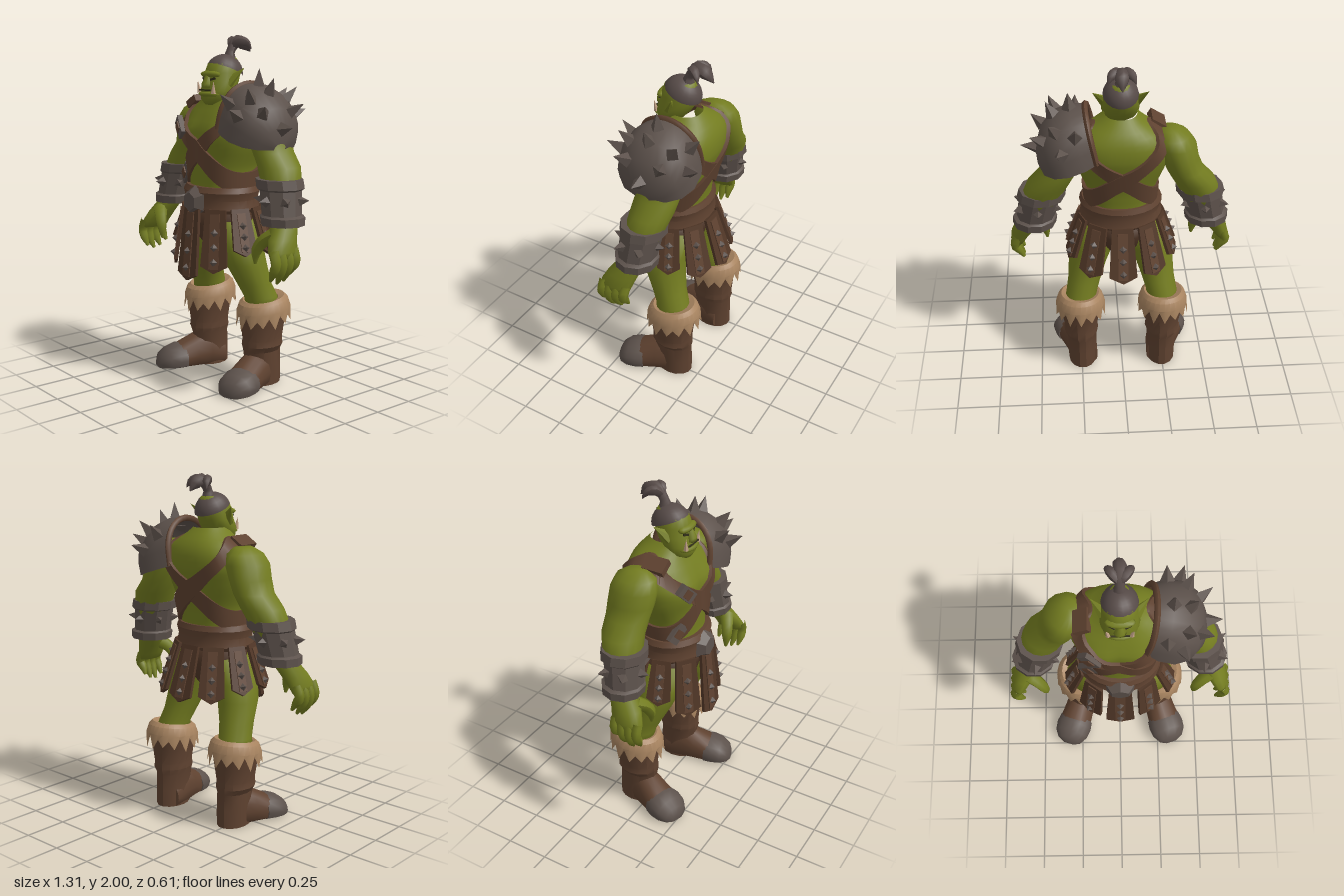
import * as THREE from 'three';
import { mergeVertices, toCreasedNormals } from 'three/addons/utils/BufferGeometryUtils.js';

const V = (x, y, z) => new THREE.Vector3(x, y, z);
const mat = (name, color, extra = {}) => Object.assign(new THREE.MeshStandardMaterial({ color, ...extra }), { name });

export function createModel() {
  const root = new THREE.Group();
  const skin = mat('greenSkin', 0x737c20);
  const metal = mat('darkMetal', 0x5d524c, { side: THREE.DoubleSide });
  const hair = mat('darkHair', 0x574b48);
  const leather = mat('brownLeather', 0x5f4230, { side: THREE.DoubleSide });
  const hide = mat('darkLeather', 0x513727);
  const fur = mat('tanFur', 0xa88460, { side: THREE.DoubleSide });
  const ivory = mat('ivory', 0xc4a488);
  const dark = mat('darkFeature', 0x33301a);

  const add = (name, geo, material, parent = root) => {
    const m = new THREE.Mesh(geo, material);
    m.name = name;
    parent.add(m);
    return m;
  };
  const group = (name, parent = root) => {
    const g = new THREE.Group();
    g.name = name;
    parent.add(g);
    return g;
  };

  // Welded surface from a grid of points f(i, j)
  function grid(nu, nv, f, crease = 0) {
    const pos = [], idx = [], w = nu + 1;
    for (let j = 0; j <= nv; j++) for (let i = 0; i <= nu; i++) pos.push(...f(i, j));
    for (let j = 0; j < nv; j++) for (let i = 0; i < nu; i++) {
      const a = j * w + i;
      idx.push(a, a + 1, a + w + 1, a, a + w + 1, a + w);
    }
    let g = new THREE.BufferGeometry();
    g.setAttribute('position', new THREE.Float32BufferAttribute(pos, 3));
    g.setIndex(idx);
    g = mergeVertices(g, 1e-4);
    g.computeVertexNormals();
    return crease ? toCreasedNormals(g, crease) : g;
  }
  // Stack of horizontal ellipses [x, y, z, rx, rz] listed upward, closed at both ends
  function loft(rows, seg = 16, crease = 0) {
    const shut = r => [r[0], r[1], r[2], 0, 0];
    const all = [shut(rows[0]), ...rows, shut(rows[rows.length - 1])];
    return grid(seg, all.length - 1, (i, j) => {
      const a = -(i % seg) / seg * Math.PI * 2, r = all[j];
      return [r[0] + r[3] * Math.cos(a), r[1], r[2] + r[4] * Math.sin(a)];
    }, crease);
  }
  // Tapered tube through points
  function sweep(points, radii, n = 8, sides = 7) {
    const curve = new THREE.CatmullRomCurve3(points.map(p => V(...p)));
    const g = new THREE.TubeGeometry(curve, n, 1, sides), p = g.attributes.position, v = V(0, 0, 0);
    for (let k = 0; k < p.count; k++) {
      const t = Math.floor(k / (sides + 1)) / n, f = t * (radii.length - 1), b = Math.min(Math.floor(f), radii.length - 2);
      const c = curve.getPointAt(t), r = THREE.MathUtils.lerp(radii[b], radii[b + 1], f - b);
      v.fromBufferAttribute(p, k).sub(c).multiplyScalar(r).add(c);
      p.setXYZ(k, v.x, v.y, v.z);
    }
    g.computeVertexNormals();
    return g;
  }
  function spike(name, p, dir, r, h, parent = root, material = metal, sides = 4) {
    const n = dir.clone().normalize();
    const m = add(name, toCreasedNormals(new THREE.ConeGeometry(r, h, sides), 0.5), material, parent);
    m.quaternion.setFromUnitVectors(V(0, 1, 0), n);
    m.position.copy(p).addScaledVector(n, h * 0.4);
    return m;
  }

  // Torso: [y, half width, half depth, z centre], with a chest bulge
  const body = [[0.92, 0.18, 0.14, 0.02], [1.05, 0.2, 0.175, 0.025], [1.16, 0.19, 0.17, 0.02], [1.26, 0.205, 0.175, 0.015],
    [1.38, 0.255, 0.19, 0], [1.48, 0.28, 0.2, -0.015], [1.56, 0.265, 0.18, -0.03], [1.62, 0.2, 0.15, -0.035],
    [1.66, 0.13, 0.125, -0.025], [1.7, 0.09, 0.1, -0.01]];
  function surf(y, a, off = 0) {
    let k = 0;
    while (k < body.length - 2 && y > body[k + 1][0]) k++;
    const t = THREE.MathUtils.clamp((y - body[k][0]) / (body[k + 1][0] - body[k][0]), 0, 1);
    const [, rx, rz, zc] = body[k].map((b, i) => b + (body[k + 1][i] - b) * t);
    const c = Math.cos(a), s = Math.sin(a), box = v => Math.sign(v) * Math.abs(v) ** 0.88;
    const pec = 0.03 * Math.exp(-(((y - 1.44) / 0.08) ** 2)) * Math.max(0, s) * Math.min(1, Math.abs(c) * 3);
    return [(rx + off) * box(c), y, zc + (rz + off + pec) * box(s)];
  }
  add('torso', grid(32, 26, (i, j) => surf(0.92 + j * 0.03, -(i % 32) / 16 * Math.PI)), skin);

  // Crossed chest straps hugging the torso, with buckles
  const strapY = c => 1.355 - 0.22 * c + 0.045 * c * c;
  const section = [[-1, -0.01], [-1, 0.016], [1, 0.016], [1, -0.01], [-1, -0.01]];
  for (const side of [1, -1]) {
    add(side > 0 ? 'strapFromRightShoulder' : 'strapFromLeftShoulder', grid(4, 48, (i, j) => {
      const a = (j % 48) / 24 * Math.PI, c = Math.cos(a) * side, w = 0.06 * (1 - 0.4 * Math.max(0, -c));
      return surf(strapY(c) + section[i][0] * w, a, section[i][1] + (side > 0 ? 0.004 : 0));
    }, 0.7), leather);
  }
  for (const [a, side] of [[2.1, 1], [2.45, -1]]) {
    const buckle = group('strapBuckle');
    buckle.position.set(...surf(strapY(Math.cos(a) * side), a, 0.02));
    buckle.rotation.set(0, -0.35, side * -0.8, 'YXZ');
    add('buckleFrame', new THREE.BoxGeometry(0.12, 0.07, 0.03), metal, buckle);
    add('buckleTab', new THREE.BoxGeometry(0.05, 0.05, 0.045), leather, buckle);
  }
  const flap = add('shoulderTab', new THREE.BoxGeometry(0.09, 0.04, 0.13), leather);
  flap.position.set(-0.2, 1.62, 0.03);
  flap.rotation.z = 0.55;

  // Head and face
  const head = group('head');
  add('skull', loft([[0, 1.612, 0.085, 0.05, 0.045], [0, 1.64, 0.075, 0.088, 0.072], [0, 1.69, 0.055, 0.106, 0.096],
    [0, 1.74, 0.03, 0.1, 0.103], [0, 1.79, 0.018, 0.094, 0.108], [0, 1.84, 0.01, 0.083, 0.095],
    [0, 1.87, 0, 0.055, 0.07], [0, 1.882, 0, 0.025, 0.03]], 18), skin, head);
  const cap = add('hairCap', new THREE.SphereGeometry(1, 18, 8, 0, Math.PI * 2, 0, 1.4), hair, head);
  cap.scale.set(0.1, 0.106, 0.112);
  cap.position.set(0, 1.786, 0.006);
  cap.rotation.x = -0.38;
  const brow = add('brow', new THREE.SphereGeometry(1, 12, 6), skin, head);
  brow.scale.set(0.082, 0.022, 0.035);
  brow.position.set(0, 1.782, 0.105);
  add('nose', loft([[0, 1.71, 0.135, 0.034, 0.026], [0, 1.73, 0.135, 0.03, 0.028], [0, 1.78, 0.12, 0.014, 0.015]], 8), skin, head);
  const lip = add('lowerLip', new THREE.SphereGeometry(1, 14, 6), skin, head);
  lip.scale.set(0.085, 0.02, 0.05);
  lip.position.set(0, 1.672, 0.112);
  const mouth = add('mouth', new THREE.BoxGeometry(0.1, 0.008, 0.008), dark, head);
  mouth.position.set(0, 1.695, 0.146);
  for (const s of [1, -1]) {
    const eye = add('eye', new THREE.BoxGeometry(0.034, 0.012, 0.008), dark, head);
    eye.position.set(s * 0.042, 1.757, 0.122);
    eye.rotation.set(0, s * 0.4, s * 0.25);
    spike('tusk', V(s * 0.063, 1.685, 0.135), V(s * 0.15, 1, 0.1), 0.015, 0.07, head, ivory, 6);
    const ear = spike('ear', V(s * 0.085, 1.745, 0.035), V(s * 0.07, 0.075, -0.05), 0.042, 0.125, head, skin, 6);
    ear.scale.z = 0.5;
  }
  // Topknot: stalk and three drooping locks
  add('topknotStalk', sweep([[0, 1.86, -0.03], [0, 1.9, -0.035], [0, 1.945, -0.06]], [0.04, 0.026, 0.028]), hair, head);
  add('topknotLock', sweep([[0, 1.92, -0.045], [0, 1.963, -0.08], [0, 1.955, -0.13], [0, 1.905, -0.185]], [0.025, 0.036, 0.038, 0.002]), hair, head);
  for (const s of [1, -1]) add('topknotSideLock', sweep([[0, 1.93, -0.05], [s * 0.03, 1.965, -0.075], [s * 0.058, 1.955, -0.11],
    [s * 0.075, 1.92, -0.13]], [0.02, 0.03, 0.024, 0.002]), hair, head);

  for (const s of [1, -1]) {
    const tag = s > 0 ? 'left' : 'right';
    const mir = rows => rows.map(([x, ...r]) => [x * s, ...r]);
    // Arm, bracer and hand
    const arm = group(tag + 'Arm');
    add('upperArm', loft(mir([[0.48, 1.1, -0.02, 0.09, 0.09], [0.45, 1.2, -0.03, 0.115, 0.11], [0.41, 1.29, -0.05, 0.12, 0.12],
      [0.355, 1.365, -0.055, 0.105, 0.125], [0.325, 1.44, -0.05, 0.105, 0.135], [0.3, 1.52, -0.045, 0.115, 0.135],
      [0.28, 1.575, -0.045, 0.095, 0.115], [0.27, 1.61, -0.045, 0.045, 0.06]])), skin, arm);
    add('bracer', loft(mir([[0.5, 0.985, 0.0, 0.125, 0.12], [0.496, 1.03, 0, 0.128, 0.125], [0.49, 1.04, 0, 0.112, 0.112],
      [0.462, 1.17, -0.015, 0.118, 0.118], [0.455, 1.18, -0.02, 0.138, 0.133], [0.445, 1.23, -0.02, 0.135, 0.132]]), 10, 0.6), metal, arm);
    for (let k = 0; k < 6; k++) {
      const a = k / 6 * Math.PI * 2 + 0.5, d = V(s * Math.cos(a), 0.1, Math.sin(a));
      spike('bracerSpike', V(s * 0.477, 1.105, -0.005).addScaledVector(d, 0.105), d, 0.035, 0.06, arm);
    }
    add('palm', loft(mir([[0.6, 0.82, 0.085, 0.035, 0.085], [0.59, 0.86, 0.08, 0.05, 0.096], [0.56, 0.92, 0.055, 0.062, 0.09],
      [0.53, 0.98, 0.02, 0.07, 0.08], [0.51, 1.02, 0.01, 0.07, 0.08]]), 12), skin, arm);
    for (let k = 0; k < 4; k++) {
      const z = 0.015 + k * 0.046, d = [0.04, 0.01, 0, 0.02][k];
      add('finger', sweep(mir([[0.6, 0.87, z], [0.625, 0.8, z + 0.004], [0.605, 0.735 + d, z + 0.006], [0.575, 0.685 + d, z]]),
        [0.03, 0.029, 0.026, 0.008]), skin, arm);
    }
    add('thumb', sweep(mir([[0.53, 0.94, 0.09], [0.475, 0.9, 0.125], [0.445, 0.845, 0.14], [0.435, 0.775, 0.14]]),
      [0.045, 0.036, 0.03, 0.008]), skin, arm);

    // Leg
    const leg = group(tag + 'Leg');
    add('thighAndKnee', loft(mir([[0.25, 0.44, -0.08, 0.1, 0.105], [0.24, 0.52, -0.07, 0.092, 0.1], [0.22, 0.6, -0.035, 0.098, 0.102],
      [0.195, 0.72, 0.005, 0.115, 0.122], [0.165, 0.82, 0.02, 0.125, 0.135], [0.12, 0.96, 0.02, 0.11, 0.14]])), skin, leg);
    // Boot shaft, foot and toe cap
    add('bootShaft', loft(mir([[0.245, 0.0, -0.085, 0.085, 0.112], [0.245, 0.1, -0.085, 0.088, 0.112], [0.245, 0.2, -0.075, 0.088, 0.12],
      [0.25, 0.235, -0.075, 0.105, 0.128], [0.25, 0.27, -0.075, 0.1, 0.124], [0.25, 0.36, -0.075, 0.118, 0.132],
      [0.25, 0.45, -0.08, 0.128, 0.142]]), 14, 0.5), leather, leg);
    const foot = group('foot', leg);
    foot.position.x = s * 0.26;
    foot.rotation.y = s * 0.32;
    // Shoe rows: [z, half width, height], flattened at the sole
    const shoe = rows => {
      const g = loft(rows.map(([z, w, h]) => [0, z, -h * 0.35, w, h * 0.65])).rotateX(Math.PI / 2), p = g.attributes.position;
      for (let k = 0; k < p.count; k++) p.setY(k, Math.max(0.003, p.getY(k)));
      return toCreasedNormals(g, 0.8);
    };
    add('bootFoot', shoe([[-0.16, 0.06, 0.14], [-0.06, 0.09, 0.22], [0.03, 0.095, 0.19], [0.14, 0.105, 0.135]]), leather, foot);
    add('toeCap', shoe([[0.1, 0.108, 0.14], [0.15, 0.115, 0.138], [0.205, 0.108, 0.118], [0.25, 0.078, 0.085], [0.268, 0.035, 0.04]]), metal, foot);
    // Ragged fur cuff
    const cuff = [[0.4, 1], [0.45, 1.02], [0.495, 0.92], [0.515, 0.78], [0.5, 0.55]];
    add('furCuff', grid(28, 4, (i, j) => {
      const k = i % 28, a = -k / 14 * Math.PI, z = Math.sin(a), jag = j ? 0 : (k % 2 ? -0.035 : 0.025) + 0.012 * Math.sin(k * 2.3);
      const r = cuff[j][1] + (j ? 0 : (k % 2) * 0.05);
      return [s * 0.25 + 0.145 * r * Math.cos(a), cuff[j][0] + jag - 0.018 * z, -0.083 + 0.16 * r * z];
    }, 0.5), fur, leg);
  }

  // Spiked shoulder pad: arches [topX, topY, lowX, lowY, half depth] marching outward
  const pad = group('shoulderPad');
  const arches = [[0.195, 1.735, 0.14, 1.48, 0.185], [0.28, 1.735, 0.2, 1.46, 0.215], [0.37, 1.695, 0.29, 1.43, 0.225],
    [0.44, 1.61, 0.37, 1.405, 0.195], [0.47, 1.5, 0.425, 1.39, 0.13], [0.465, 1.42, 0.45, 1.385, 0.04]];
  const padPoint = (a, j) => {
    const [tx, ty, lx, ly, d] = arches[j], t = Math.max(0, Math.sin(a)) ** 0.75;
    return [lx + (tx - lx) * t, ly + (ty - ly) * t, -0.015 + d * Math.cos(a)];
  };
  add('padShell', grid(14, 5, (i, j) => padPoint(i / 14 * Math.PI, j), 0.6), metal, pad);
  add('padTrim', sweep(Array.from({ length: 9 }, (_, i) => padPoint(i / 8 * Math.PI, 0)), [0.018, 0.018], 20, 6), leather, pad);
  for (const [a, j] of [[0.55, 1], [1.55, 1], [2.5, 1], [0.95, 2], [1.55, 2], [2.2, 2], [0.45, 2], [2.75, 2], [1.0, 3], [2.1, 3], [1.57, 4]]) {
    const p = V(...padPoint(a, j));
    spike('padSpike', p, p.clone().sub(V(0.26, 1.47, -0.015)), 0.042, 0.095, pad);
  }

  // Belt, buckle and loincloth
  add('loincloth', loft([[0, 0.76, 0.02, 0.05, 0.08], [0, 0.85, 0.02, 0.15, 0.14], [0, 0.93, 0.02, 0.205, 0.16], [0, 1.04, 0.025, 0.21, 0.18]]), hide);
  add('belt', loft([[0, 1.01, 0.028, 0.222, 0.19], [0, 1.03, 0.028, 0.24, 0.205], [0, 1.08, 0.028, 0.228, 0.196], [0, 1.125, 0.028, 0.24, 0.205],
    [0, 1.155, 0.025, 0.225, 0.19]], 24, 0.5), leather);
  const beltBuckle = add('beltBuckle', toCreasedNormals(new THREE.CylinderGeometry(0.055, 0.092, 0.045, 6), 0.3), metal);
  beltBuckle.position.set(0, 1.07, 0.24);
  beltBuckle.rotation.x = Math.PI / 2;

  // Studded skirt plates: [degrees, width, length, tilt]
  const skirt = group('skirt');
  const plates = [[90, 0.17, 0.42, 0.1], [-90, 0.16, 0.33, 0.32]];
  for (const [d, ...rest] of [[50, 0.155, 0.36, 0.14], [14, 0.14, 0.27, 0.34], [-20, 0.13, 0.28, 0.34], [-54, 0.15, 0.32, 0.32]])
    plates.push([d, ...rest], [180 - d, ...rest]);
  for (const [deg, w, len, tilt] of plates) {
    const a = deg * Math.PI / 180, c = Math.cos(a), n = Math.sin(a);
    const plate = group('skirtPlate', skirt);
    plate.position.set(0.225 * c, 1.035, 0.028 + 0.2 * n);
    plate.rotation.set(-tilt, Math.atan2(c / 0.225, n / 0.2), 0, 'YXZ');
    const shape = new THREE.Shape([[-w * 0.38, 0], [-w / 2, -len + 0.04], [0, -len], [w / 2, -len + 0.04], [w * 0.38, 0]].map(p => new THREE.Vector2(...p)));
    add('plate', new THREE.ExtrudeGeometry(shape, { depth: 0.018, bevelEnabled: false }), hide, plate);
    const ridge = add('plateRidge', new THREE.BoxGeometry(w * 0.36, len - 0.05, 0.01), leather, plate);
    ridge.position.set(0, -len / 2, 0.019);
    for (let k = 0; k < 3; k++) spike('stud', V(0, -len * (0.36 + k * 0.23), 0.022), V(0, 0, 1), 0.027, 0.03, plate);
  }
  return root;
}
